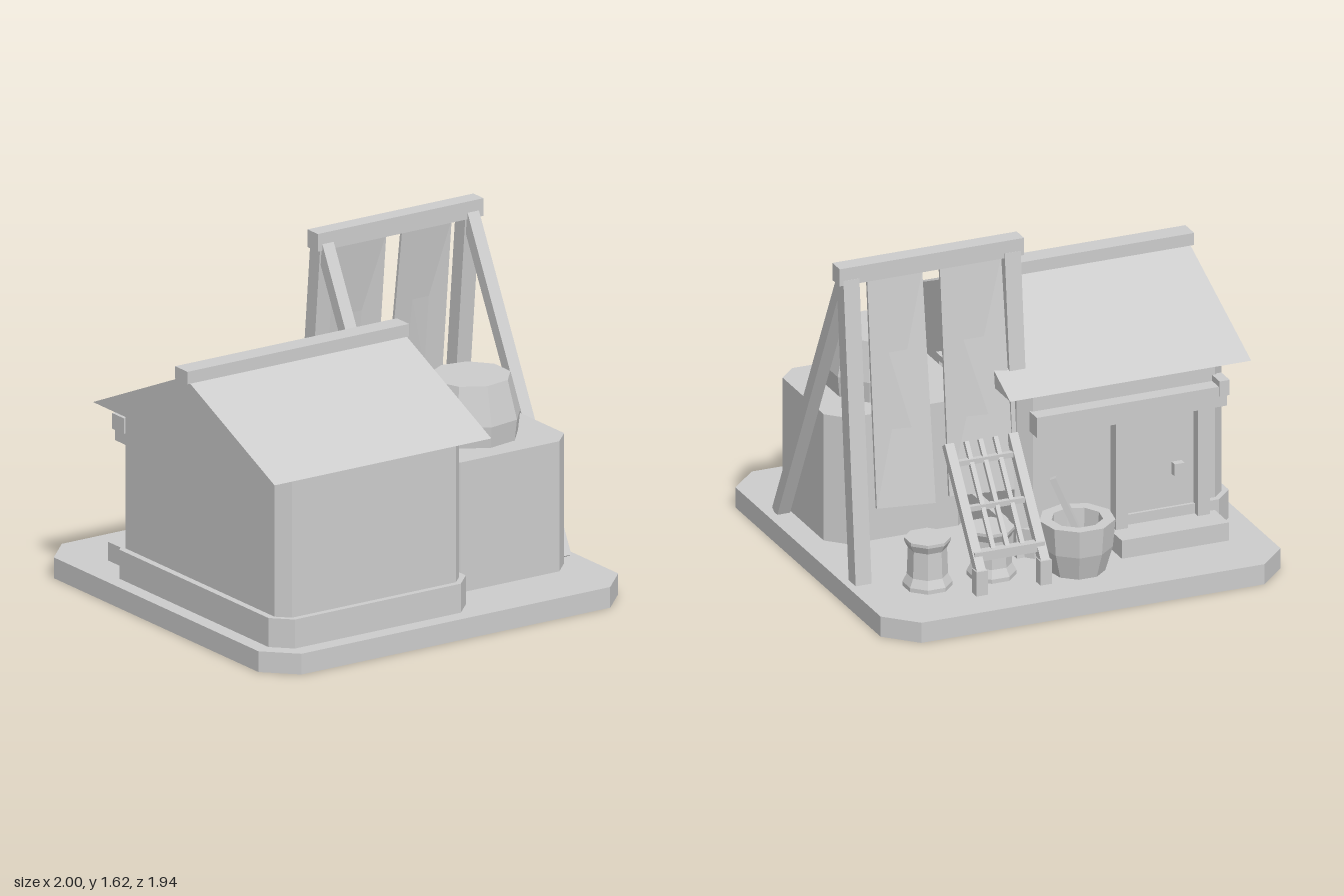
import * as THREE from 'three';

const stone = new THREE.MeshStandardMaterial({ color: 0xcccccc, flatShading: true, side: THREE.DoubleSide });
stone.name = 'plain grey';

export function createModel() {
  const root = new THREE.Group();
  root.name = 'workshopYard';

  const add = (name, geometry, parent = root) => {
    const m = new THREE.Mesh(geometry, stone);
    m.name = name;
    parent.add(m);
    return m;
  };
  const group = (name) => {
    const g = new THREE.Group();
    g.name = name;
    root.add(g);
    return g;
  };
  // box given by its limits on each axis
  const box = (name, x0, x1, y0, y1, z0, z1, parent) => {
    const m = add(name, new THREE.BoxGeometry(x1 - x0, y1 - y0, z1 - z0), parent);
    m.position.set((x0 + x1) / 2, (y0 + y1) / 2, (z0 + z1) / 2);
    return m;
  };
  // square beam between two points
  const beam = (name, a, b, w, h, parent) => {
    const p = new THREE.Vector3(...a), q = new THREE.Vector3(...b);
    const m = add(name, new THREE.BoxGeometry(w, h, p.distanceTo(q)), parent);
    m.position.copy(p).add(q).multiplyScalar(0.5);
    m.lookAt(q);
    return m;
  };
  // rectangle outline with cut corners
  const cutCorners = (hx, hz, c) => [
    [hx - c, -hz], [hx, c - hz], [hx, hz - c], [hx - c, hz],
    [c - hx, hz], [-hx, hz - c], [-hx, c - hz], [c - hx, -hz],
  ].map(([x, y]) => new THREE.Vector2(x, y));
  const slab = (name, x0, x1, y0, y1, z0, z1, c, wall = 0) => {
    const hx = (x1 - x0) / 2, hz = (z1 - z0) / 2;
    const shape = new THREE.Shape(cutCorners(hx, hz, c));
    if (wall) shape.holes.push(new THREE.Path(cutCorners(hx - wall, hz - wall, c)));
    const g = new THREE.ExtrudeGeometry(shape, { depth: y1 - y0, bevelEnabled: false });
    g.rotateX(-Math.PI / 2);
    const m = add(name, g);
    m.position.set((x0 + x1) / 2, y0, (z0 + z1) / 2);
    return m;
  };
  // faceted round vessel
  const vessel = (name, profile, sides, turn, x, z, parent) => {
    const pts = profile.map(([r, y]) => new THREE.Vector2(r, y));
    const m = add(name, new THREE.LatheGeometry(pts, sides, turn), parent);
    m.position.set(x, 0, z);
    return m;
  };

  // ground plate, hollow underneath
  slab('baseRim', -1, 1, 0, 0.095, -0.97, 0.97, 0.142, 0.005);
  slab('baseTop', -1, 1, 0.09, 0.1, -0.97, 0.97, 0.142);

  // house
  slab('foundation', -0.927, 0.17, 0.07, 0.24, -0.49, 0.89, 0.087);
  slab('walls', -0.893, 0.134, 0.24, 0.93, -0.46, 0.86, 0.058);
  const gable = new THREE.Shape([[-0.93, 0.925], [0.54, 0.925], [-0.2, 1.25]].map((p) => new THREE.Vector2(...p)));
  const roof = add('roof', new THREE.ExtrudeGeometry(gable, { depth: 1.205, bevelEnabled: false }));
  roof.rotation.y = Math.PI / 2;
  roof.position.x = -0.98;
  box('ridgeBeam', -0.997, 0.235, 1.23, 1.29, 0.15, 0.25);

  // side window
  const win = group('sideWindow');
  box('windowSill', 0.12, 0.165, 0.415, 0.49, -0.22, 0.5, win);
  box('windowTop', 0.12, 0.16, 0.745, 0.775, -0.18, 0.46, win);
  for (const z of [-0.18, 0.425]) box('windowJamb', 0.12, 0.16, 0.49, 0.745, z, z + 0.035, win);

  // back entrance
  const entry = group('entrance');
  box('step', -0.82, -0.285, 0.02, 0.19, -0.65, -0.46, entry);
  box('door', -0.73, -0.37, 0.19, 0.72, -0.475, -0.455, entry);
  box('doorKnob', -0.66, -0.61, 0.4, 0.46, -0.51, -0.47, entry);
  for (const x of [-0.37, -0.78]) box('doorPost', x, x + 0.06, 0.15, 0.74, -0.525, -0.45, entry);
  box('lintel', -0.86, 0.09, 0.72, 0.82, -0.535, -0.45, entry);
  box('lintelEnd', -0.87, -0.82, 0.775, 0.85, -0.545, -0.45, entry);

  // kiln block with its pot
  slab('kiln', 0.16, 0.88, 0.09, 0.728, 0.01, 0.65, 0.085);
  vessel('kilnPot', [[0, 0.725], [0.225, 0.725], [0.237, 0.83], [0.19, 1.015], [0, 1.015]],
    9, -Math.PI / 18, 0.52, 0.33);

  // drying frame
  const frame = group('dryingFrame');
  box('topBeam', 0.058, 0.98, 1.54, 1.625, -0.315, -0.232, frame);
  for (const x of [0.115, 0.922]) {
    beam('frontLeg', [x, 0.1, 0.49], [x, 1.56, -0.26], 0.063, 0.06, frame);
    beam('backLeg', [x, 0.09, -0.418], [x, 1.56, -0.277], 0.08, 0.08, frame);
  }
  // hanging cloths, twisted towards the bottom edge
  for (const [x0, x1] of [[0.16, 0.467], [0.555, 0.83]]) {
    const g = new THREE.BoxGeometry(x1 - x0, 1.1, 0.015);
    const p = g.attributes.position;
    for (let i = 0; i < p.count; i++) {
      const drop = p.getY(i) < 0 ? (p.getX(i) < 0 ? 0.155 : 0.11) : 0;
      p.setZ(i, p.getZ(i) - drop);
    }
    const cloth = add('cloth', g, frame);
    cloth.position.set((x0 + x1) / 2, 0.99, -0.28);
  }

  // small jars
  for (const x of [0.335, 0.655]) {
    vessel('jar', [[0, 0.1], [0.115, 0.1], [0.115, 0.12], [0.095, 0.16], [0.09, 0.29],
      [0.108, 0.325], [0.108, 0.34], [0, 0.34]], 8, Math.PI / 8, x, -0.575);
  }

  // tub with stirring stick
  const tub = group('tub');
  vessel('tubBody', [[0, 0.1], [0.13, 0.1], [0.165, 0.22], [0.177, 0.355], [0.12, 0.355],
    [0.115, 0.26], [0, 0.26]], 9, 0, -0.05, -0.675, tub);
  beam('stick', [-0.07, 0.25, -0.67], [0.04, 0.54, -0.605], 0.03, 0.03, tub);

  // leaning slatted rack
  const rack = group('slattedRack');
  const along = (t) => [0.7 - 0.5 * t, -0.4 - 0.37 * t];
  const slats = [[0.155, 0.045], [0.24, 0.022], [0.315, 0.022], [0.385, 0.022], [0.475, 0.045]];
  for (const [x, w] of slats) beam('slat', [x, ...along(0)], [x, ...along(w > 0.04 ? 1 : 0.88)], w, w * 0.9, rack);
  for (const [t, w] of [[0.15, 0.025], [0.5, 0.025], [0.86, 0.045]]) {
    beam('crossbar', [0.14, ...along(t)], [0.49, ...along(t)], w, w, rack);
  }
  for (const x of [0.155, 0.475]) box('rackFoot', x - 0.028, x + 0.028, 0.09, 0.22, -0.79, -0.735, rack);

  return root;
}
